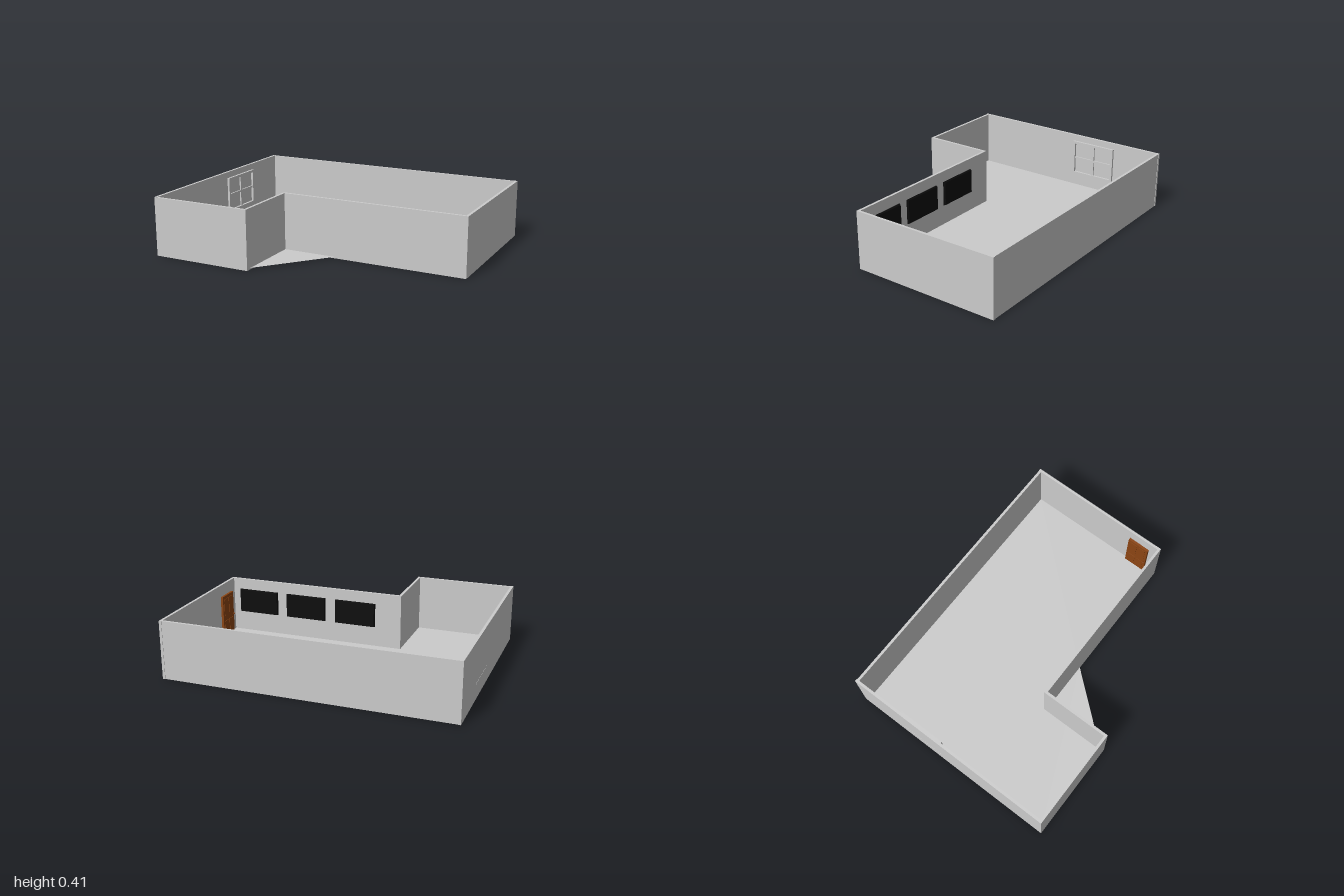
import * as THREE from 'three';

const material = (color) => new THREE.MeshStandardMaterial({ color });

// Box given by its two limits along each axis
function box(name, [x0, x1], [y0, y1], [z0, z1], mat) {
  const mesh = new THREE.Mesh(new THREE.BoxGeometry(x1 - x0, y1 - y0, z1 - z0), mat);
  mesh.position.set((x0 + x1) / 2, (y0 + y1) / 2, (z0 + z1) / 2);
  mesh.name = name;
  return mesh;
}

export function createModel() {
  const model = new THREE.Group();
  model.name = 'room';
  const grey = material(0xcccccc);
  const wood = material(0x8b4513);
  const black = material(0x0a0a0a);

  // Floor, with a slanted corner reaching outside the inner angle of the walls
  const outline = [[-0.99, -0.755], [0.99, -0.755], [0.99, 0.275], [0.09, 0.275], [-0.3, 0.735], [-0.3, 0.755], [-0.99, 0.755]];
  const floorShape = new THREE.Shape(outline.map(([x, z]) => new THREE.Vector2(x, -z)));
  const floorMat = material(0xcccccc);
  floorMat.side = THREE.DoubleSide;
  const floor = new THREE.Mesh(new THREE.ShapeGeometry(floorShape), floorMat);
  floor.rotation.x = -Math.PI / 2;
  floor.position.y = 0.01;
  floor.name = 'floor';
  model.add(floor);

  // Walls around the L-shaped plan
  const walls = new THREE.Group();
  walls.name = 'walls';
  const t = 0.018;
  const h = [0, 0.403];
  walls.add(
    box('leftSideWall', [-1, -1 + t], [0, 0.405], [-0.765, 0.765], grey),
    box('rightSideWall', [1 - t, 1], h, [-0.765, 0.283], grey),
    box('backWall', [-1 + t, 1 - t], h, [-0.762, -0.762 + t], grey),
    box('innerFrontWall', [-0.293, 1 - t], h, [0.283 - t, 0.283], grey),
    box('innerSideWall', [-0.293 - t, -0.293], h, [0.283 - t, 0.765 - t], grey),
    box('frontWall', [-1 + t, -0.293], h, [0.765 - t, 0.765], grey)
  );
  model.add(walls);

  // Window: frame with a cross of glazing bars, and a sill that just pierces the wall
  const win = new THREE.Group();
  win.name = 'window';
  const frameX = [-0.99, -0.966];
  const barX = [-0.99, -0.972];
  const [zA, zB, yA, yB, w] = [-0.405, -0.065, 0.1, 0.36, 0.018];
  const zM = (zA + zB) / 2;
  const yM = (yA + yB) / 2;
  for (const z of [zA, zB - w]) win.add(box('windowJamb', frameX, [yA, yB], [z, z + w], grey));
  for (const y of [yA, yB - w]) win.add(box('windowRail', frameX, [y, y + w], [zA + w, zB - w], grey));
  win.add(
    box('uprightBar', barX, [yA + w, yB - w], [zM - 0.01, zM + 0.01], grey),
    box('crossBar', barX, [yM - 0.007, yM + 0.007], [zA + w, zB - w], grey),
    box('windowSill', [-1.001, -0.966], [0.106, 0.112], [-0.385, -0.07], grey)
  );
  model.add(win);

  // Door with raised panels and a knob
  const door = new THREE.Group();
  door.name = 'door';
  door.add(box('doorLeaf', [0.965, 0.984], [0.01, 0.318], [0.045, 0.205], wood));
  for (const z of [0.063, 0.132]) {
    for (const y of [[0.035, 0.13], [0.17, 0.295]]) {
      door.add(box('doorPanel', [0.962, 0.966], y, [z, z + 0.055], wood));
    }
  }
  const knob = new THREE.Mesh(new THREE.SphereGeometry(0.007, 16, 10), wood);
  knob.position.set(0.957, 0.15, 0.195);
  knob.name = 'doorKnob';
  door.add(knob);
  model.add(door);

  // Three black boards with tapered rims on the inner front wall
  for (const x of [0.03, 0.408, 0.78]) {
    const geometry = new THREE.BoxGeometry(0.305, 0.175, 0.016);
    const pos = geometry.attributes.position;
    for (let i = 0; i < pos.count; i++) {
      if (pos.getZ(i) < 0) pos.setXY(i, pos.getX(i) * 0.96, pos.getY(i) * 0.94);
    }
    geometry.computeVertexNormals();
    const board = new THREE.Mesh(geometry, black);
    board.position.set(x, 0.238, 0.258);
    board.name = 'wallBoard';
    model.add(board);
  }

  return model;
}
